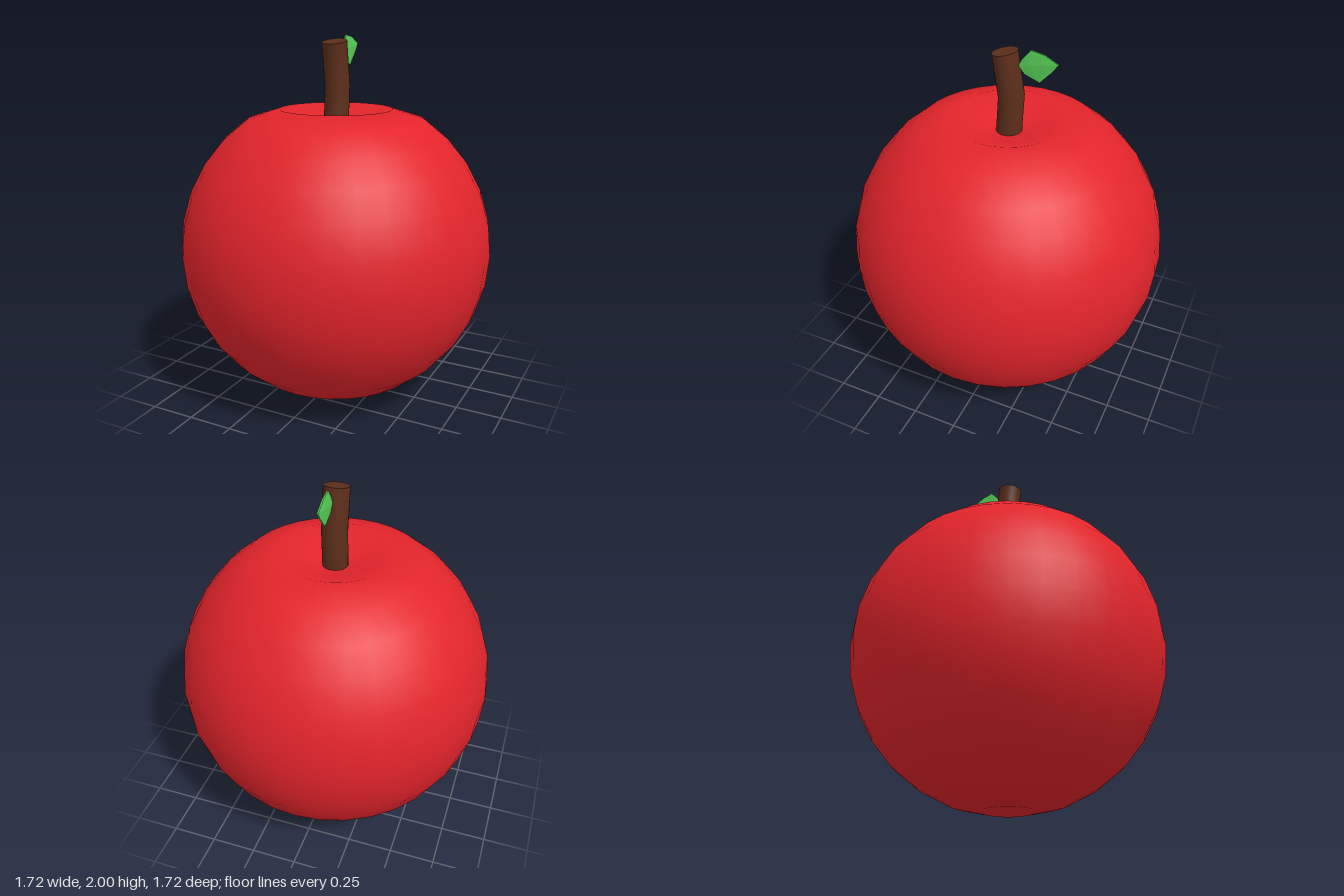
import * as THREE from 'three';
import { ConvexGeometry } from 'three/addons/geometries/ConvexGeometry.js';

const R = 0.862, CENTRE_Y = 0.845;

function part(name, geometry, color, flatShading = false) {
  const mesh = new THREE.Mesh(geometry, new THREE.MeshStandardMaterial({ color, flatShading }));
  mesh.name = name;
  return mesh;
}

// Round fruit body: a 16-ring sphere profile with a dimple at the top and a slight one below
function fruitGeometry() {
  const points = [new THREE.Vector2(0, 0.015), new THREE.Vector2(0.14, 0), new THREE.Vector2(0.32, 0.045)];
  for (let i = 3; i <= 13; i++) {
    const a = -Math.PI / 2 + (i * Math.PI) / 16;
    points.push(new THREE.Vector2(R * Math.cos(a), CENTRE_Y + R * Math.sin(a)));
  }
  points.push(new THREE.Vector2(0.308, 1.615), new THREE.Vector2(0.15, 1.555), new THREE.Vector2(0, 1.53));
  return new THREE.LatheGeometry(points, 32);
}

// Bent stem: a capped cylinder whose rings are moved onto a bent centre line
function stemGeometry() {
  const rings = [ // y, z, tilt of the ring about x
    [1.5, -0.003, -0.03],
    [1.74, -0.018, 0.1],
    [1.97, 0.018, 0.2],
  ];
  const geometry = new THREE.CylinderGeometry(0.068, 0.068, 2, 24, 2);
  const pos = geometry.attributes.position;
  for (let i = 0; i < pos.count; i++) {
    const [y, z, tilt] = rings[Math.round(pos.getY(i)) + 1];
    const d = pos.getZ(i);
    pos.setXYZ(i, pos.getX(i), y - d * Math.sin(tilt), z + d * Math.cos(tilt));
  }
  geometry.computeVertexNormals();
  return geometry;
}

// Thin faceted leaf standing in the YZ plane, thickest along its midrib
function leafGeometry() {
  const outline = [ // z, y
    [-0.055, 1.91], [-0.075, 1.947], [-0.12, 2.0], [-0.19, 1.988],
    [-0.265, 1.95], [-0.235, 1.908], [-0.17, 1.84], [-0.09, 1.87],
  ];
  const midrib = [[-0.12, 1.922], [-0.2, 1.938]];
  const points = [];
  for (const side of [-1, 1]) {
    outline.forEach(([z, y]) => points.push(new THREE.Vector3(side * 0.004, y, z)));
    midrib.forEach(([z, y]) => points.push(new THREE.Vector3(side * 0.009, y, z)));
  }
  return new ConvexGeometry(points);
}

export function createModel() {
  const group = new THREE.Group();
  group.name = 'apple';
  group.add(
    part('fruit', fruitGeometry(), 0xe3242b),
    part('stem', stemGeometry(), 0x5c2e1a),
    part('leaf', leafGeometry(), 0x58d058, true),
  );
  return group;
}
